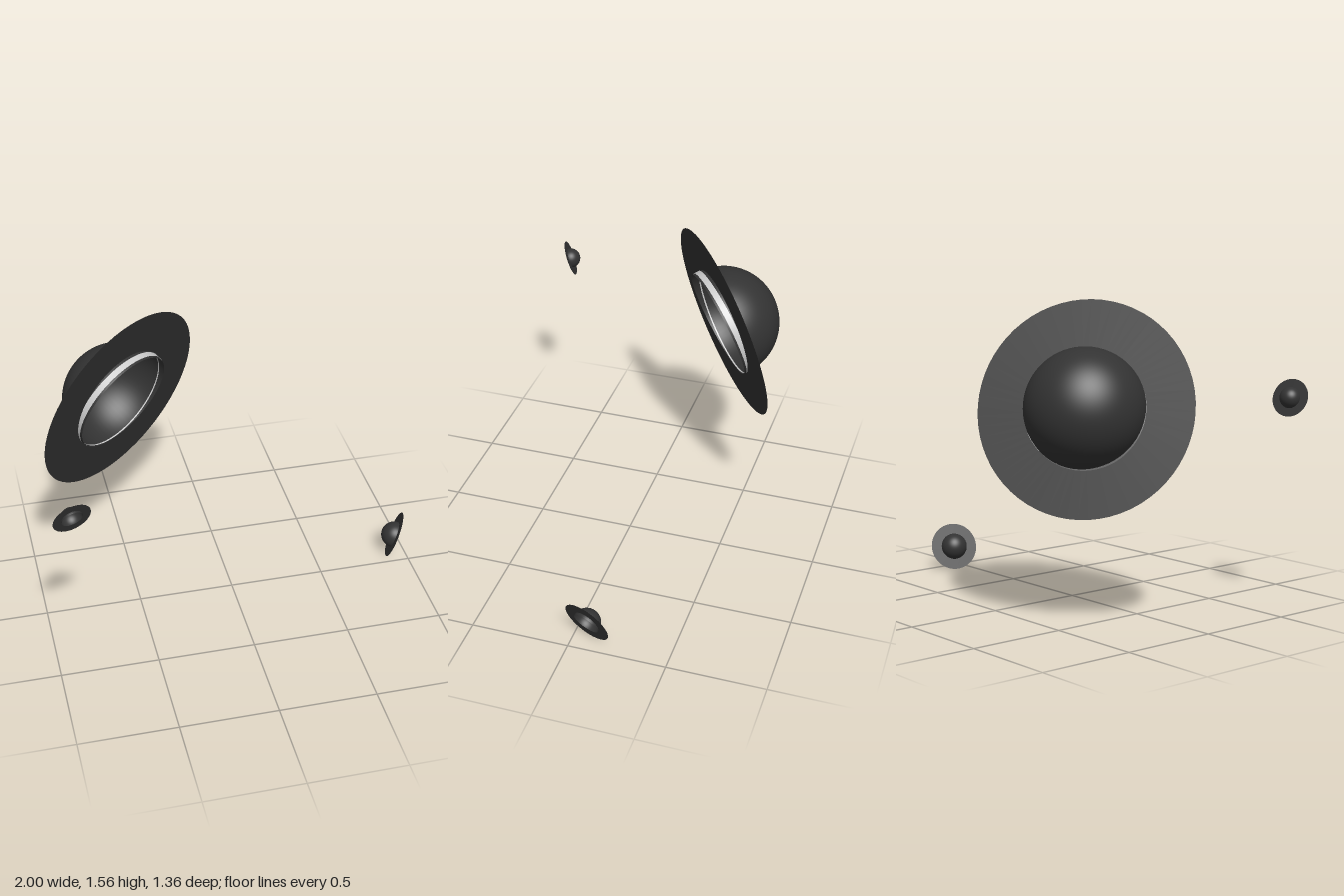
import * as THREE from 'three';

const felt = new THREE.MeshStandardMaterial({ color: 0x333333, side: THREE.DoubleSide });
felt.name = 'dark felt';
const ribbon = new THREE.MeshStandardMaterial({ color: 0xcccccc, side: THREE.DoubleSide });
ribbon.name = 'pale ribbon';

const DOME = 0.556;   // crown radius when the brim radius is 1
const SKIRT = 0.06;   // how far the crown reaches below the brim

function part(name, geometry, material) {
  const mesh = new THREE.Mesh(geometry, material);
  mesh.name = name;
  return mesh;
}

// One round hat: unit brim in the local xz plane, crown towards local +y
function createHat(name, { centre, axis, radius, banded }) {
  const hat = new THREE.Group();
  hat.name = name;

  const brim = part('brim', new THREE.RingGeometry(DOME, 1, 64, 1), felt);
  brim.rotation.x = -Math.PI / 2;
  hat.add(brim);

  // The crown sits slightly tilted in the brim
  const top = new THREE.Group();
  top.name = 'crown';
  top.rotation.z = -0.09;
  const sweep = Math.PI / 2 + Math.asin(SKIRT / DOME);
  top.add(part('dome', new THREE.SphereGeometry(DOME, 64, 32, 0, Math.PI * 2, 0, sweep), felt));
  if (banded) {
    const band = part('hatBand', new THREE.CylinderGeometry(DOME + 0.004, DOME + 0.004, 0.06, 64, 1, true), ribbon);
    band.position.y = -0.01;
    top.add(band);
    // Narrow pale seam inside the opening
    hat.add(part('innerSeam', new THREE.CylinderGeometry(DOME - 0.006, DOME - 0.006, 0.014, 64, 1, true), ribbon));
  }
  hat.add(top);

  // Aim local +y along the hat axis, local +x as near to world up as possible
  const y = new THREE.Vector3(...axis).normalize();
  const x = new THREE.Vector3(0, 1, 0).addScaledVector(y, -y.y).normalize();
  const z = new THREE.Vector3().crossVectors(x, y);
  hat.quaternion.setFromRotationMatrix(new THREE.Matrix4().makeBasis(x, y, z));
  hat.position.set(...centre);
  hat.scale.setScalar(radius);
  return hat;
}

export function createModel() {
  const model = new THREE.Group();
  model.name = 'floatingHats';
  model.add(
    createHat('largeHat', { centre: [-0.51, 1.05, -0.347], axis: [-0.572, 0.272, -0.774], radius: 0.527, banded: true }),
    createHat('smallHat', { centre: [-0.907, 1.065, 0.638], axis: [-0.25, 0.336, -0.908], radius: 0.0955, banded: false }),
    createHat('mediumHat', { centre: [0.938, 0.12, -0.079], axis: [-0.883, 0.342, -0.32], radius: 0.1275, banded: false }),
  );
  return model;
}
